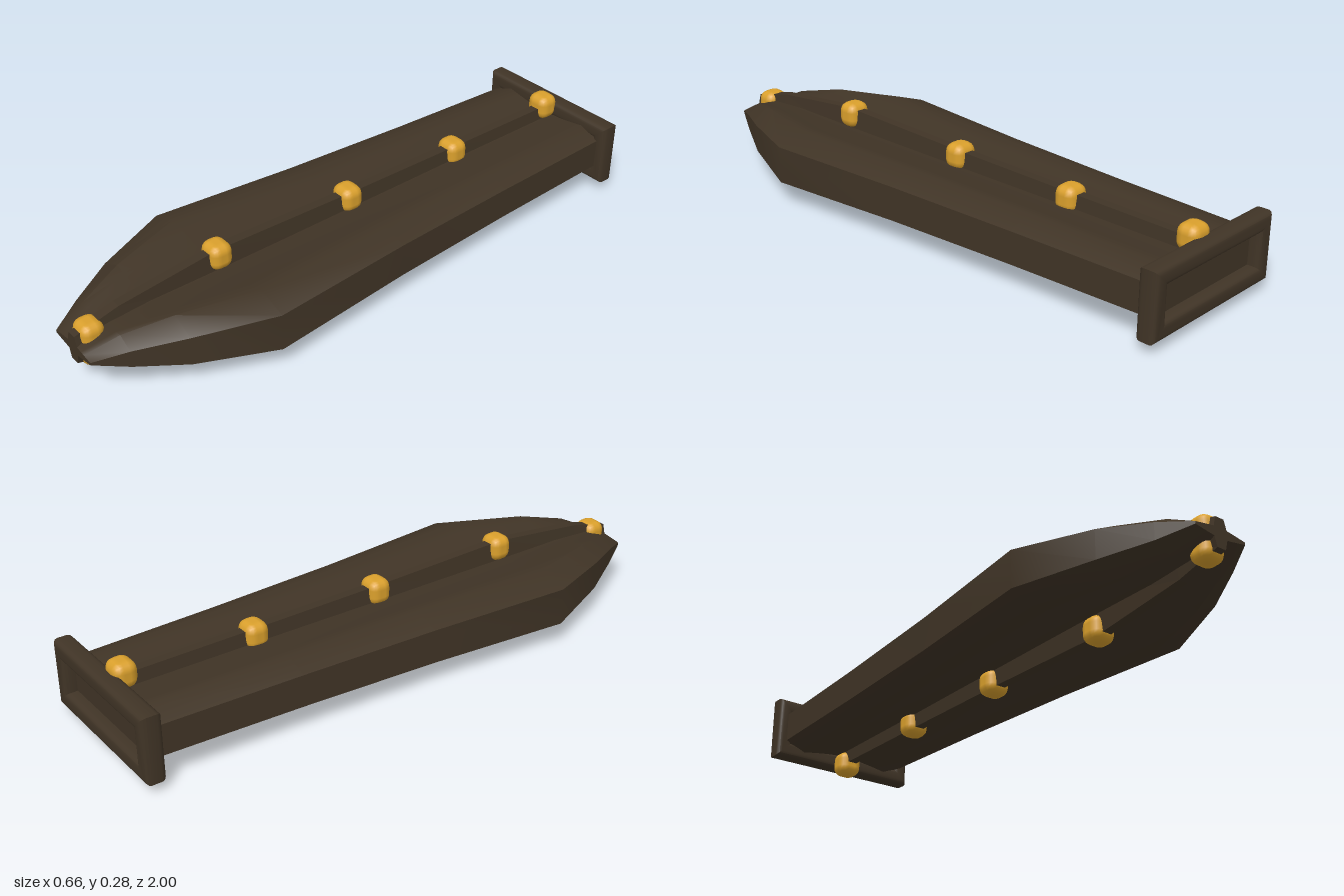
import * as THREE from 'three';
import { toCreasedNormals } from 'three/addons/utils/BufferGeometryUtils.js';
import { RoundedBoxGeometry } from 'three/addons/geometries/RoundedBoxGeometry.js';

const MID_Y = 0.142;

// Joins counter-clockwise cross-sections, listed from back to front, and caps both ends.
function loft(sections) {
  const pos = [], idx = [], n = sections[0].pts.length;
  for (const s of sections) for (const [x, y] of s.pts) pos.push(x, y, s.z);
  for (let i = 0; i < sections.length - 1; i++) {
    for (let j = 0; j < n; j++) {
      const k = (j + 1) % n, a = i * n + j, b = i * n + k;
      idx.push(a, b, b + n, a, b + n, a + n);
    }
  }
  for (const end of [0, sections.length - 1]) {
    const base = pos.length / 3;
    for (const [x, y] of sections[end].pts) pos.push(x, y, sections[end].z);
    pos.push(0, 0, sections[end].z);
    for (let j = 0; j < n; j++) {
      const k = (j + 1) % n;
      if (end) idx.push(base + n, base + j, base + k);
      else idx.push(base + n, base + k, base + j);
    }
  }
  const g = new THREE.BufferGeometry();
  g.setAttribute('position', new THREE.Float32BufferAttribute(pos, 3));
  g.setIndex(idx);
  g.computeVertexNormals();
  return g;
}

// Sheath outline: bevelled sides and a shallow hollow along the middle of each face.
function sheathSection([z, w, s, c, t, d]) {
  const top = [[w, s]];
  for (const f of [1, 0.75, 0.5, 0.25, 0, -0.25, -0.5, -0.75, -1]) {
    top.push([c * f, d + (t - d) * Math.pow(Math.abs(f), 1.2)]);
  }
  top.push([-w, s]);
  return { z, pts: [...top, ...top.map(([x, y]) => [-x, -y])] };
}

// Six-sided spine section
function spineSection([z, h]) {
  return { z, pts: [[0.029, 0], [0.016, h], [-0.016, h], [-0.029, 0], [-0.016, -h], [0.016, -h]] };
}

export function createModel() {
  const model = new THREE.Group();
  const brown = new THREE.MeshStandardMaterial({ color: 0x403426 });
  const brownFlat = new THREE.MeshStandardMaterial({ color: 0x403426, flatShading: true });
  const gold = new THREE.MeshStandardMaterial({ color: 0xdaa02c });

  const add = (name, geometry, material, x = 0, y = 0, z = 0) => {
    const mesh = new THREE.Mesh(geometry, material);
    mesh.name = name;
    mesh.position.set(x, y, z);
    model.add(mesh);
    return mesh;
  };

  // Sheath body: z, half width, side half height, crest x, crest height, middle height
  const sheath = [
    [-0.96, 0.243, 0.05, 0.17, 0.08, 0.055],
    [-0.47, 0.262, 0.053, 0.185, 0.085, 0.055],
    [0, 0.287, 0.057, 0.2, 0.09, 0.053],
    [0.5, 0.328, 0.0625, 0.23, 0.098, 0.052],
    [0.75, 0.23, 0.048, 0.155, 0.085, 0.052],
    [0.9, 0.15, 0.028, 0.1, 0.056, 0.045],
    [1, 0.095, 0.004, 0.06, 0.01, 0.018],
  ].map(sheathSection);
  add('sheathBody', toCreasedNormals(loft(sheath), 0.7), brown, 0, MID_Y, 0);

  // Spine running through the middle of both faces: z, half height
  const spine = [[-0.95, 0.098], [-0.47, 0.102], [0, 0.108], [0.5, 0.121], [0.85, 0.084], [1, 0.048]];
  add('spine', loft(spine.map(spineSection)), brownFlat, 0, MID_Y, 0);

  // Throat collar: rounded rectangular ring around the mouth
  const rect = (Type, w, h) => new Type([[-w, -h], [w, -h], [w, h], [-w, h]].map(([x, y]) => new THREE.Vector2(x, y)));
  const ring = rect(THREE.Shape, 0.276, 0.109);
  ring.holes.push(rect(THREE.Path, 0.222, 0.055));
  const collar = new THREE.ExtrudeGeometry(ring, {
    depth: 0.033, bevelThickness: 0.016, bevelSize: 0.016, bevelOffset: -0.016, bevelSegments: 3,
  });
  add('throatCollar', toCreasedNormals(collar, 0.7), brown, 0, MID_Y, -0.984);

  // Studs on the spine, mirrored on both faces: z, distance from the middle
  const stud = new RoundedBoxGeometry(0.086, 0.086, 0.078, 2, 0.03);
  for (const [z, h] of [[-0.915, 0.098], [-0.475, 0.081], [-0.015, 0.088], [0.495, 0.098], [0.945, 0.03]]) {
    add('upperStud', stud, gold, 0, MID_Y + h, z);
    add('lowerStud', stud, gold, 0, MID_Y - h, z);
  }
  return model;
}
